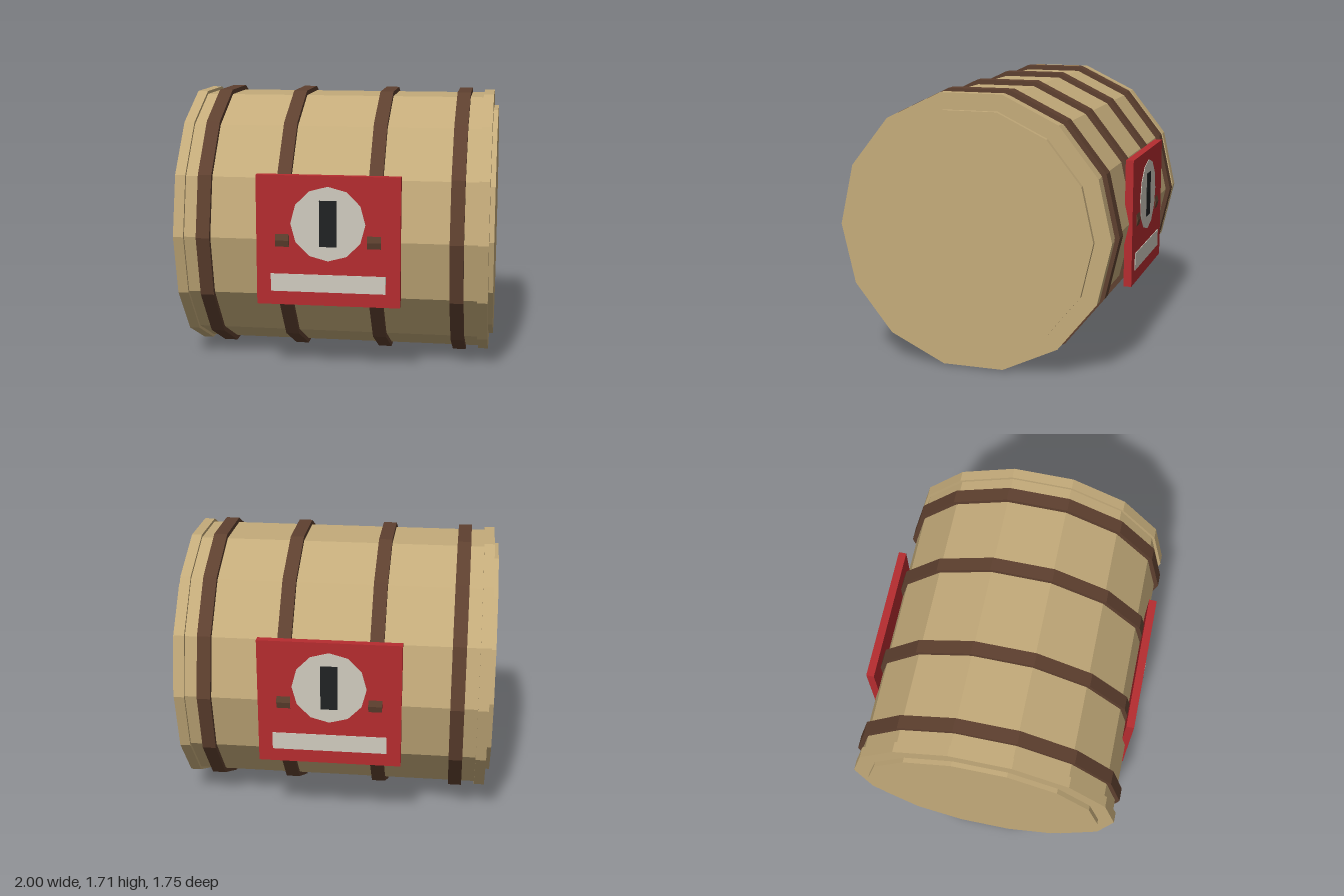
import * as THREE from 'three';

const mat = (name, color, flatShading = false) => {
  const m = new THREE.MeshStandardMaterial({ color, flatShading });
  m.name = name;
  return m;
};

export function createModel() {
  const wood = mat('wood', 0xc4ab7a, true);
  const iron = mat('brown hoop', 0x5e402f, true);
  const red = mat('red panel', 0xb52c2f);
  const pale = mat('pale marking', 0xd0cbbf);
  const black = mat('black marking', 0x202324);

  const model = new THREE.Group();
  model.name = 'barrel';
  const axisY = 0.857;

  const add = (parent, name, geometry, material, x, y, z) => {
    const mesh = new THREE.Mesh(geometry, material);
    mesh.name = name;
    mesh.position.set(x, y, z);
    parent.add(mesh);
    return mesh;
  };

  // Fourteen-sided drum lying along x, with a corner facing front and back
  const drum = (name, radius, width, material, x) =>
    add(model, name, new THREE.CylinderGeometry(radius, radius, width, 14).rotateZ(Math.PI / 2),
      material, x, axisY, 0);

  drum('body', 0.847, 1.88, wood, 0);
  for (const side of [-1, 1]) {
    drum('endRim', 0.866, 0.065, wood, side * 0.9375);
    drum('endCap', 0.762, 0.06, wood, side * 0.97);
    drum('outerHoop', 0.877, 0.085, iron, side * 0.78);
    drum('innerHoop', 0.877, 0.085, iron, side * 0.283);
  }

  // Warning panel with thin markings, repeated on the back
  for (const turn of [0, Math.PI]) {
    const panel = new THREE.Group();
    panel.name = turn ? 'backPanel' : 'frontPanel';
    panel.rotation.y = turn;
    add(panel, 'plate', new THREE.BoxGeometry(0.885, 0.805, 0.05), red, 0, 0.857, 0.843);
    add(panel, 'disc', new THREE.CylinderGeometry(0.23, 0.23, 0.008, 12).rotateX(Math.PI / 2),
      pale, 0, 0.965, 0.868);
    add(panel, 'slot', new THREE.BoxGeometry(0.106, 0.285, 0.008), black, 0, 0.967, 0.872);
    add(panel, 'strip', new THREE.BoxGeometry(0.71, 0.11, 0.008), pale, 0, 0.594, 0.868);
    model.add(panel);
  }
  return model;
}
